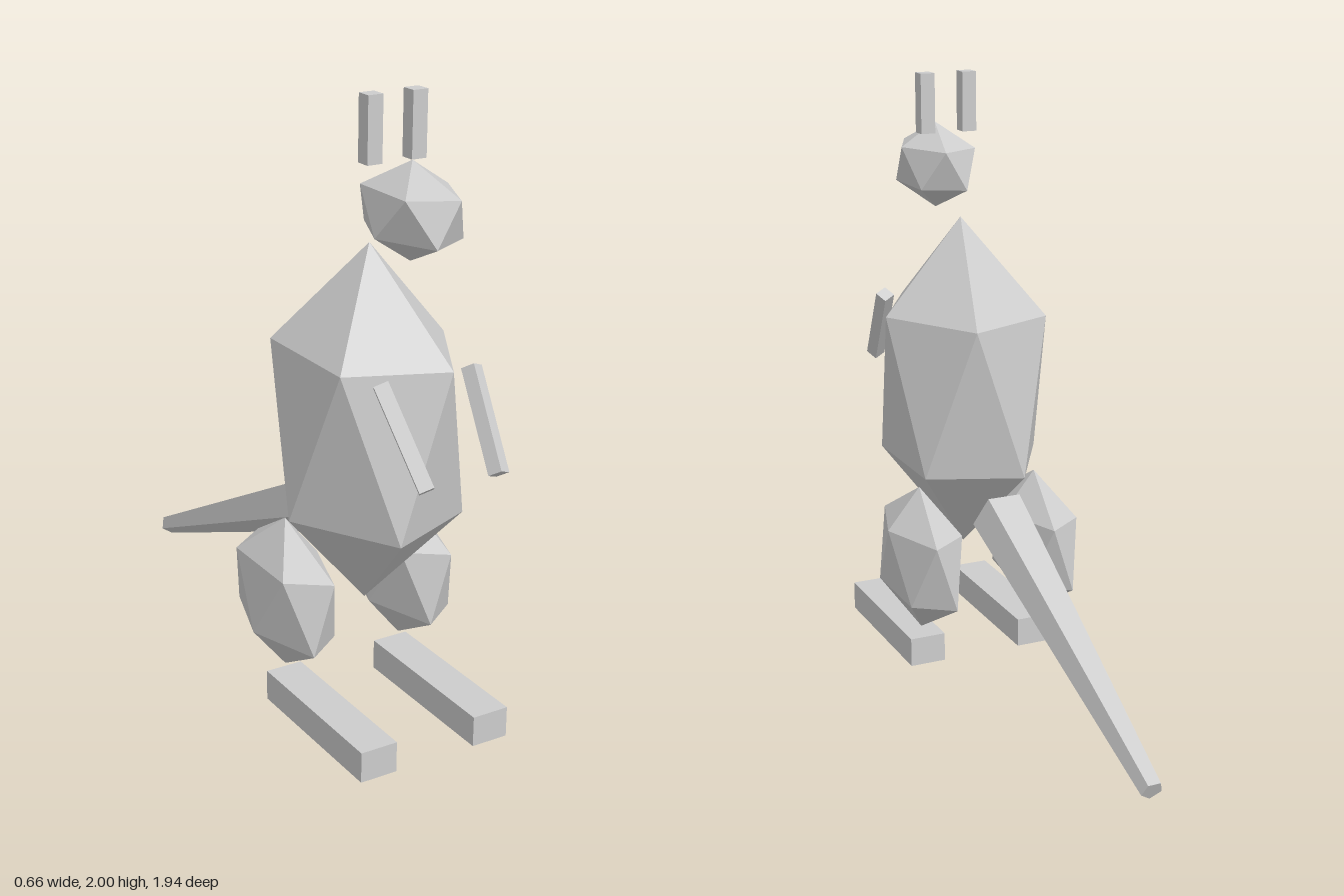
import * as THREE from 'three';

const fur = new THREE.MeshStandardMaterial({ color: 0xcccccc, flatShading: true });
fur.name = 'light grey';

// Twenty-sided ball standing on a point: two poles and two staggered rings of five
function gemGeometry() {
  const h = 1 / Math.sqrt(5), r = 2 * h;
  const ring = (i, y, offset) => {
    const a = (i * 2 + offset) * Math.PI / 5;
    return [r * Math.cos(a), y, r * Math.sin(a)];
  };
  const top = [0, 1, 0], bottom = [0, -1, 0], points = [];
  for (let i = 0; i < 5; i++) {
    const u0 = ring(i, h, 0), u1 = ring(i + 1, h, 0);
    const l0 = ring(i, -h, 1), l1 = ring(i + 1, -h, 1);
    points.push(top, u1, u0, u0, u1, l0, l0, u1, l1, bottom, l0, l1);
  }
  const geometry = new THREE.BufferGeometry();
  geometry.setAttribute('position', new THREE.Float32BufferAttribute(points.flat(), 3));
  return geometry;
}

export function createModel() {
  const model = new THREE.Group();
  model.name = 'kangaroo';

  const add = (name, geometry, x, y, z) => {
    const mesh = new THREE.Mesh(geometry, fur);
    mesh.name = name;
    mesh.position.set(x, y, z);
    model.add(mesh);
    return mesh;
  };
  const gem = (name, size, x, y, z) => {
    const geometry = gemGeometry().scale(...size);
    geometry.computeVertexNormals();
    return add(name, geometry, x, y, z);
  };

  // Body and head
  gem('body', [0.307, 0.58, 0.387], 0, 0.95, 0.437);
  gem('head', [0.137, 0.147, 0.223], 0, 1.675, 0.655);

  // Five-sided tapering tail, one edge underneath
  const tail = add('tail', new THREE.CylinderGeometry(0.097, 0.036, 1.188, 5), 0, 0.32, -0.416);
  tail.rotation.x = 1.131;

  // Paired parts
  for (const [side, s] of [['left', 1], ['right', -1]]) {
    gem(side + 'Thigh', [0.129, 0.255, 0.282], s * 0.215, 0.385, 0.31);
    add(side + 'Foot', new THREE.BoxGeometry(0.125, 0.1, 0.57), s * 0.203, 0.05, 0.565);
    add(side + 'Ear', new THREE.BoxGeometry(0.05, 0.2, 0.05), s * 0.075, 1.9, 0.553);

    // Arm: spun about its length, reaching forward, leaning inward
    const arm = add(side + 'Arm', new THREE.BoxGeometry(0.045, 0.327, 0.045), s * 0.14, 1.08, 0.85);
    arm.rotation.set(-0.64, s * 0.43, -s * 0.123, 'ZXY');
  }
  return model;
}
